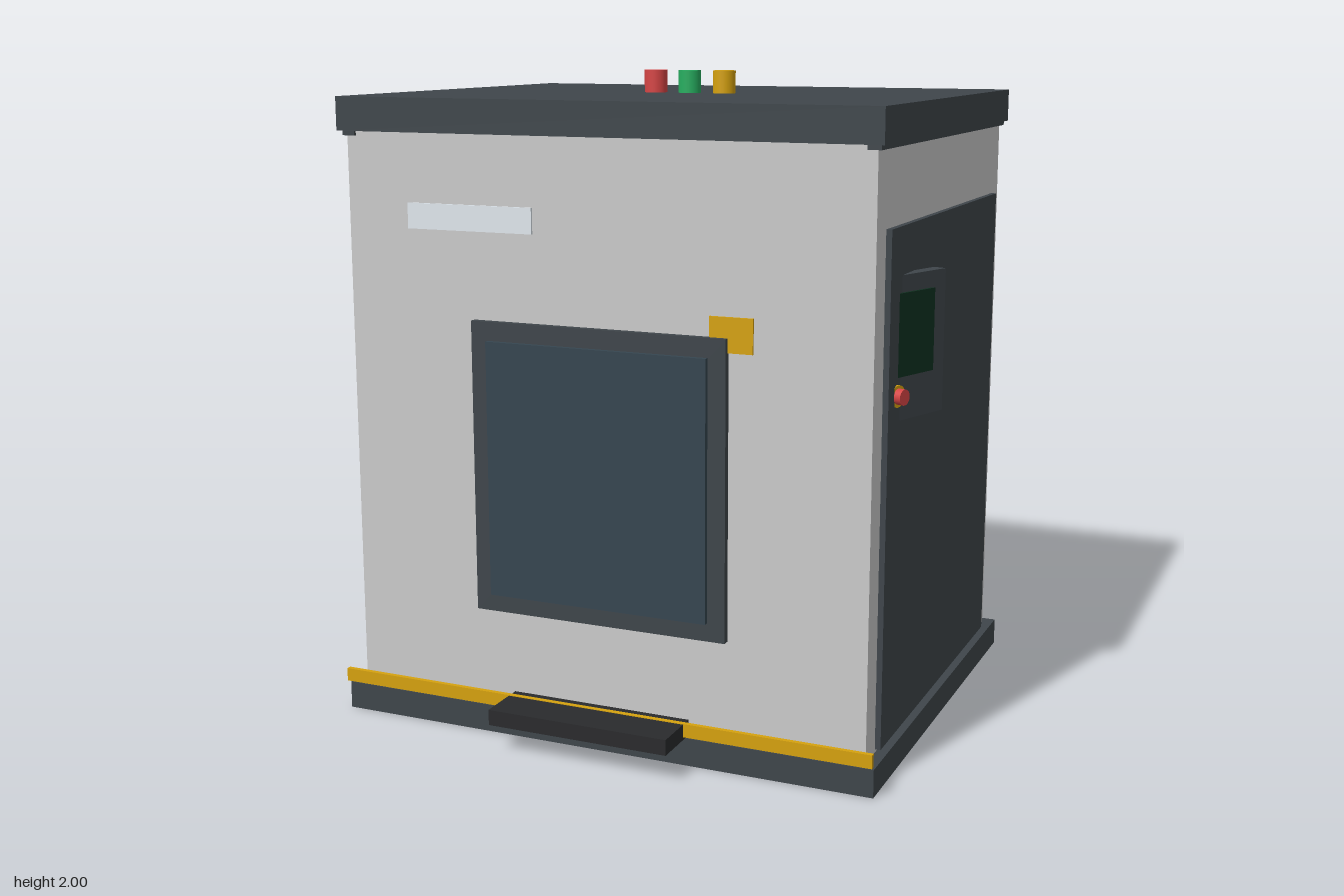
import * as THREE from 'three';

const mat = (color) => new THREE.MeshStandardMaterial({ color });
const grey = mat(0xcccccc), dark = mat(0x3f464b), black = mat(0x2a2b2d), glass = mat(0x364650);
const yellow = mat(0xd6a20f), red = mat(0xd64545), green = mat(0x27ae60);
const pale = mat(0xe0e8ee), screenGreen = mat(0x0f3020);

// Box given by its extents along each axis
function box(parent, name, material, [x0, x1], [y0, y1], [z0, z1]) {
  const mesh = new THREE.Mesh(new THREE.BoxGeometry(x1 - x0, y1 - y0, z1 - z0), material);
  mesh.position.set((x0 + x1) / 2, (y0 + y1) / 2, (z0 + z1) / 2);
  mesh.name = name;
  parent.add(mesh);
  return mesh;
}

function cylinder(parent, name, material, radius, height, x, y, z) {
  const mesh = new THREE.Mesh(new THREE.CylinderGeometry(radius, radius, height, 24), material);
  mesh.position.set(x, y, z);
  mesh.name = name;
  parent.add(mesh);
  return mesh;
}

export function createModel() {
  const model = new THREE.Group();
  model.name = 'machineCabinet';

  // Housing, plinth and roof
  box(model, 'base', dark, [-0.9, 0.84], [0, 0.085], [-0.775, 0.635]);
  box(model, 'body', grey, [-0.86, 0.805], [0.085, 1.85], [-0.735, 0.6]);
  box(model, 'roof', dark, [-0.885, 0.828], [1.828, 1.93], [-0.757, 0.62]);
  for (const x of [-0.85, 0.797])
    box(model, 'roofRail', dark, [x - 0.02, x + 0.02], [1.814, 1.83], [-0.747, 0.61]);

  // Side doors
  box(model, 'leftDoor', dark, [0.79, 0.822], [0.095, 1.595], [-0.653, 0.515]);
  box(model, 'rightDoor', dark, [-0.877, -0.845], [0.095, 1.595], [-0.653, 0.515]);
  for (const y of [1.07, 0.99])
    box(model, 'ventBar', grey, [-0.885, -0.87], [y - 0.015, y + 0.015], [-0.25, 0.16]);

  // Front window, plates and step
  box(model, 'windowFrame', dark, [-0.435, 0.38], [0.388, 1.28], [0.58, 0.622]);
  box(model, 'windowGlass', glass, [-0.38, 0.325], [0.443, 1.223], [0.6, 0.637]);
  box(model, 'namePlate', pale, [-0.652, -0.236], [1.543, 1.62], [0.595, 0.607]);
  box(model, 'warningPlate', yellow, [0.323, 0.455], [1.238, 1.34], [0.595, 0.607]);
  box(model, 'safetyStrip', yellow, [-0.9, 0.84], [0.095, 0.136], [0.638, 0.653]);
  box(model, 'step', black, [-0.316, 0.263], [0.086, 0.134], [0.612, 0.778]);

  // Signal lamps on the roof
  [red, green, yellow].forEach((m, i) =>
    cylinder(model, 'signalLamp', m, 0.036, 0.08, -0.145 + i * 0.117, 1.96, -0.072));

  // Control panel, swung out from the left door
  const panel = new THREE.Group();
  panel.name = 'controlPanel';
  panel.position.set(0.834, 0, 0.373);
  panel.rotation.y = -0.35;
  box(panel, 'panelCase', dark, [-0.04, 0], [1.043, 1.457], [-0.17, 0.17]);
  box(panel, 'panelScreen', screenGreen, [-0.005, 0.008], [1.17, 1.408], [-0.11, 0.11]);
  cylinder(panel, 'stopRing', yellow, 0.032, 0.02, 0.008, 1.12, 0.066).rotation.z = -Math.PI / 2;
  cylinder(panel, 'stopButton', red, 0.023, 0.04, 0.02, 1.12, 0.066).rotation.z = -Math.PI / 2;
  model.add(panel);

  return model;
}
